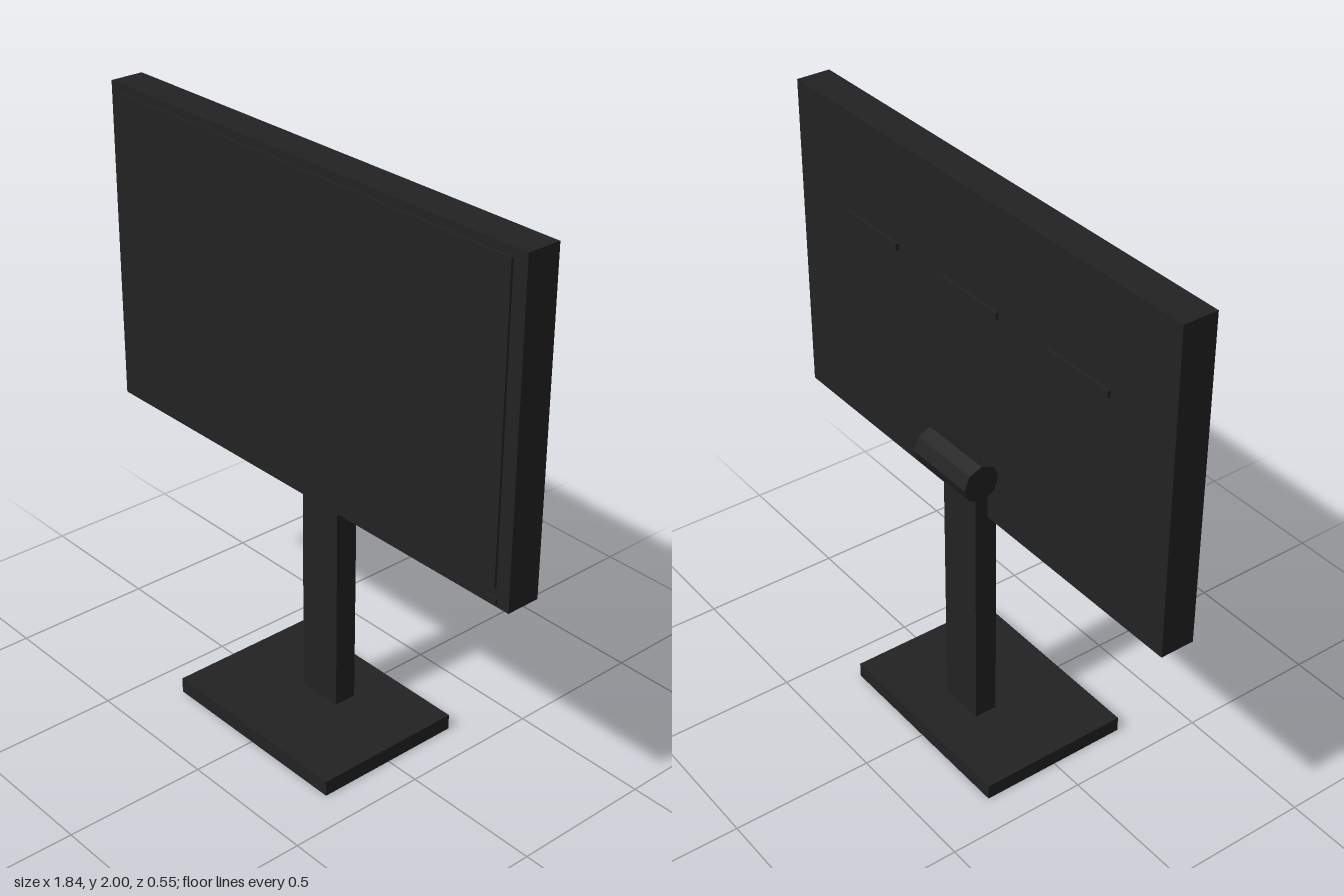
import * as THREE from 'three';

export function createModel() {
  const model = new THREE.Group();
  model.name = 'monitor';
  const black = new THREE.MeshStandardMaterial({ color: 0x222222, flatShading: true });
  black.name = 'matte black';

  const add = (name, geometry, x, y, z) => {
    const mesh = new THREE.Mesh(geometry, black);
    mesh.name = name;
    mesh.position.set(x, y, z);
    model.add(mesh);
    return mesh;
  };
  const box = (name, w, h, d, x, y, z) => add(name, new THREE.BoxGeometry(w, h, d), x, y, z);

  // Stand: foot plate, upright post and eight-sided tilt hinge
  box('base', 0.75, 0.055, 0.545, 0, 0.0275, 0);
  box('post', 0.168, 1.01, 0.082, 0, 0.56, -0.067);
  const hinge = add('hinge', new THREE.CylinderGeometry(0.065, 0.065, 0.27, 8), 0, 1.063, -0.121);
  hinge.rotation.z = Math.PI / 2;

  // Display housing with a slightly raised screen
  box('housing', 1.844, 1.122, 0.12, 0, 1.439, 0);
  box('screen', 1.74, 1.03, 0.009, 0, 1.456, 0.0635);
  box('powerButton', 0.045, 0.018, 0.009, 0.855, 0.899, 0.0635);

  // Row of raised vent bars across the back
  for (const i of [-1, 0, 1]) {
    box(`vent${i + 2}`, 0.275, 0.024, 0.02, i * 0.512, 1.644, -0.061);
  }
  return model;
}
